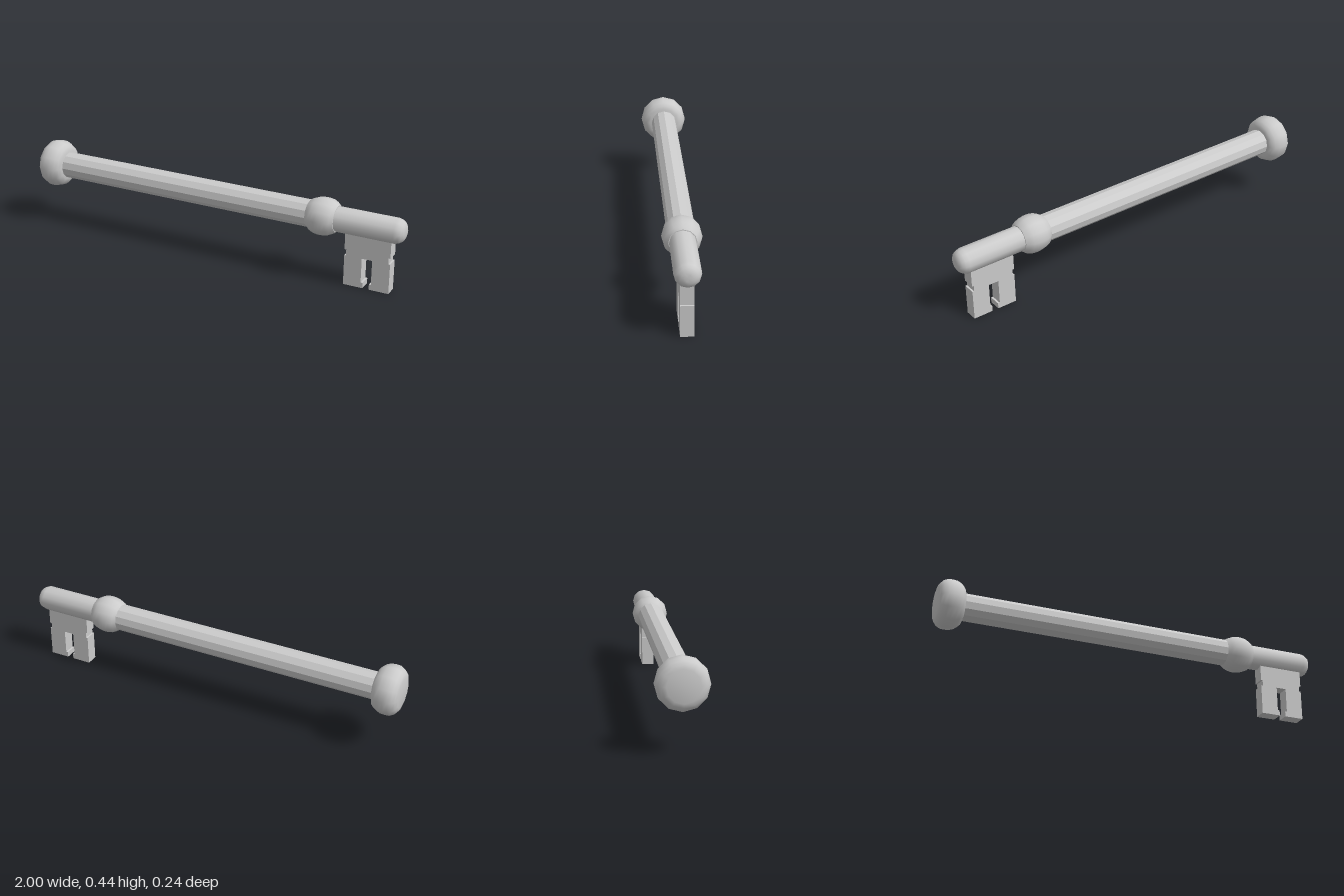
import * as THREE from 'three';
import { toCreasedNormals } from 'three/addons/utils/BufferGeometryUtils.js';

const AXIS_Y = 0.317;

export function createModel() {
  const key = new THREE.Group();
  key.name = 'key';
  const material = new THREE.MeshStandardMaterial({ color: 0xcccccc });

  function add(name, geometry, crease) {
    const mesh = new THREE.Mesh(toCreasedNormals(geometry, crease), material);
    mesh.name = name;
    key.add(mesh);
  }

  // Twelve-sided turned part along x; profile is [x, radius] from left to right
  function turned(name, profile, crease = 0.85) {
    const points = profile.map(([x, r]) => new THREE.Vector2(r, x));
    const geometry = new THREE.LatheGeometry(points, 12);
    geometry.rotateZ(-Math.PI / 2).translate(0, AXIS_Y, 0);
    add(name, geometry, crease);
  }

  // Flattened round knob at the left end
  turned('endKnob', [
    [-1, 0], [-1, 0.076], [-0.994, 0.095], [-0.981, 0.11], [-0.962, 0.12], [-0.94, 0.122],
    [-0.915, 0.12], [-0.893, 0.111], [-0.877, 0.097], [-0.87, 0.078], [-0.87, 0],
  ]);

  // Faceted shaft
  turned('shaft', [[-0.9, 0], [-0.9, 0.067], [0.54, 0.067], [0.54, 0]], 0.4);

  // Round collar between shaft and tip
  turned('collar', [
    [0.512, 0], [0.512, 0.066], [0.528, 0.079], [0.548, 0.088], [0.57, 0.092], [0.585, 0.093],
    [0.602, 0.092], [0.624, 0.088], [0.643, 0.079], [0.658, 0.066], [0.658, 0],
  ]);

  // Thinner tip with a rounded end
  turned('tip', [
    [0.63, 0], [0.63, 0.062], [0.955, 0.062], [0.974, 0.057], [0.988, 0.047],
    [0.997, 0.031], [1, 0.016], [1, 0],
  ]);

  // Key bit: plate with a stepped slot below and a small notch on each side
  const halfOutline = [
    [0.016, 0], [0.115, 0], [0.115, 0.153], [0.106, 0.153], [0.106, 0.183],
    [0.115, 0.183], [0.115, 0.29],
  ];
  const slot = [[0.026, 0.153], [0.026, 0.028], [0.016, 0.028]];
  const right = [...slot, ...halfOutline];
  const left = right.map(([x, y]) => [-x, y]).reverse();
  const shape = new THREE.Shape([...right, ...left].map(([x, y]) => new THREE.Vector2(x, y)));
  const bit = new THREE.ExtrudeGeometry(shape, { depth: 0.062, bevelEnabled: false });
  bit.translate(0.826, 0, -0.031);
  add('bit', bit, 0.4);

  return key;
}
